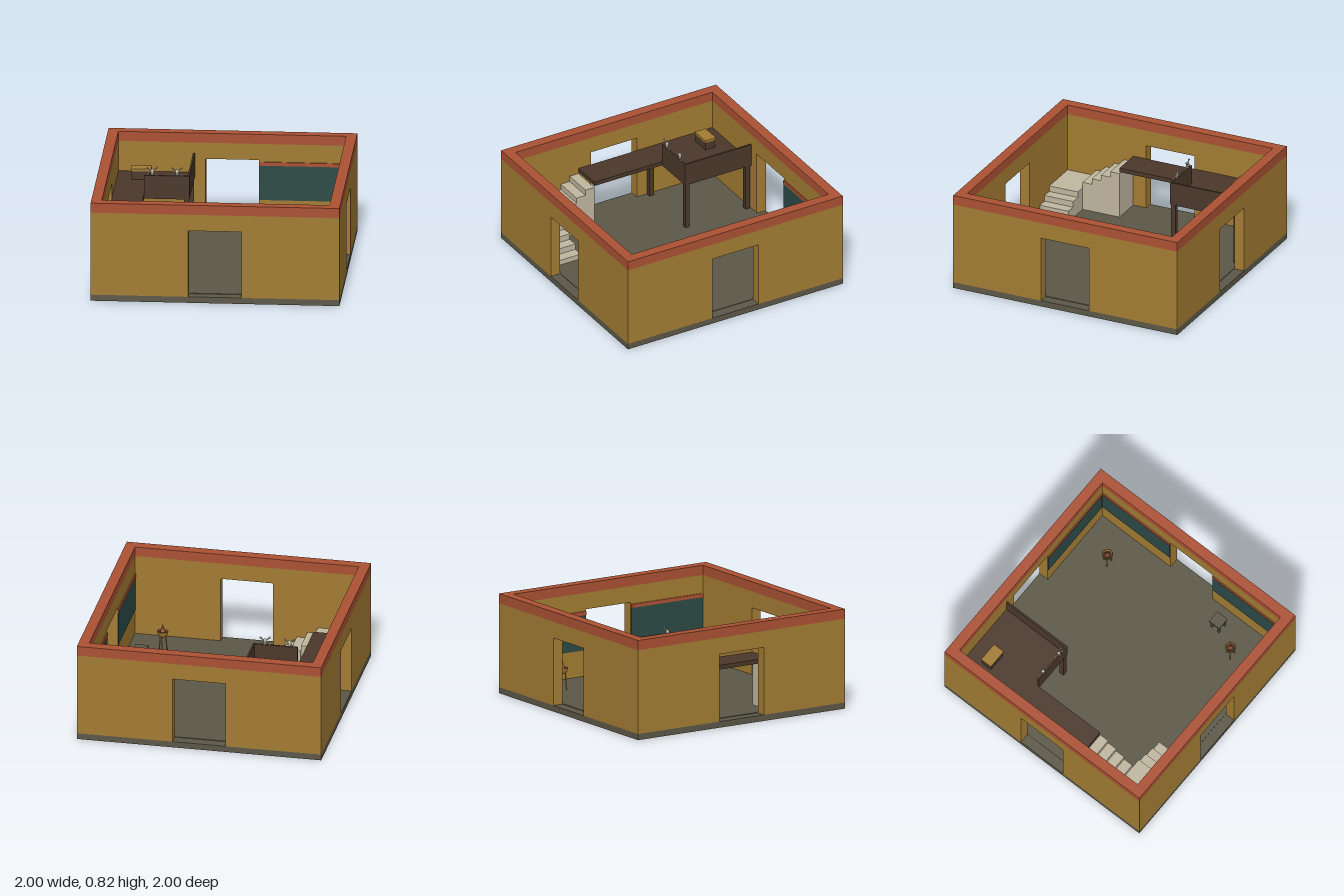
import * as THREE from 'three';

const mat = (name, color) => {
  const m = new THREE.MeshStandardMaterial({ color });
  m.name = name;
  return m;
};

export function createModel() {
  const ochre = mat('ochre plaster', 0xa37c33);
  const red = mat('red clay', 0xab5133);
  const stone = mat('grey stone', 0x5c5848);
  const wood = mat('dark wood', 0x4b382b);
  const beige = mat('pale stone', 0xc1b7a0);
  const teal = mat('teal panel', 0x2b4a46);

  const root = new THREE.Group();
  root.name = 'building';

  const add = (name, geo, material, x = 0, y = 0, z = 0, parent = root) => {
    const m = new THREE.Mesh(geo, material);
    m.name = name;
    m.position.set(x, y, z);
    parent.add(m);
    return m;
  };
  // box given by its minimum and maximum corners
  const block = (name, material, x0, x1, y0, y1, z0, z1, parent = root) =>
    add(name, new THREE.BoxGeometry(x1 - x0, y1 - y0, z1 - z0), material,
      (x0 + x1) / 2, (y0 + y1) / 2, (z0 + z1) / 2, parent);
  // thin round bar between two points
  const bar = (name, material, a, b, r, parent, rTop = r) => {
    const p = new THREE.Vector3(...a), q = new THREE.Vector3(...b);
    const d = q.clone().sub(p);
    const m = add(name, new THREE.CylinderGeometry(rTop, r, d.length(), 6), material, 0, 0, 0, parent);
    m.position.copy(p).add(q).multiplyScalar(0.5);
    m.quaternion.setFromUnitVectors(new THREE.Vector3(0, 1, 0), d.normalize());
    return m;
  };

  const IN = 0.915, T = 1 - IN;

  // foundation and inner floor
  block('foundation', stone, -1, 1, 0, 0.05, -1, 1);
  block('floor', stone, -IN, IN, 0.05, 0.055, -IN, IN);

  // four walls, each with a doorway and a red coping
  const wallGeo = (half) => {
    const s = new THREE.Shape([
      [-half, 0.05], [-0.215, 0.05], [-0.215, 0.605], [0.215, 0.605],
      [0.215, 0.05], [half, 0.05], [half, 0.74], [-half, 0.74],
    ].map(([x, y]) => new THREE.Vector2(x, y)));
    return new THREE.ExtrudeGeometry(s, { depth: T, bevelEnabled: false });
  };
  ['front', 'left', 'back', 'right'].forEach((side, i) => {
    const half = i % 2 ? IN : 1;
    const g = new THREE.Group();
    g.name = side + 'Wall';
    g.rotation.y = i * Math.PI / 2;
    add('wall', wallGeo(half), ochre, 0, 0, IN, g);
    block('coping', red, -half, half, 0.74, 0.82, IN, 1, g);
    root.add(g);
  });

  // teal wall panels with a red rail above
  for (const s of [-1, 1]) {
    const z0 = s < 0 ? -0.91 : 0.22, z1 = s < 0 ? -0.22 : 0.91;
    block('sidePanel', teal, IN - 0.005, IN, 0.27, 0.56, z0, z1);
    block('sidePanelRail', red, IN - 0.01, IN, 0.56, 0.59, z0, z1);
  }
  block('backPanel', teal, 0.22, 0.905, 0.27, 0.56, -IN, -IN + 0.005);
  block('backPanelRail', red, 0.22, 0.905, 0.56, 0.59, -IN, -IN + 0.01);

  // loft, walkway, parapets and posts
  block('loftDeck', wood, -IN, -0.3, 0.455, 0.49, -IN, -0.3);
  block('walkway', wood, -IN, -0.665, 0.455, 0.49, -0.3, 0.33);
  block('loftSideParapet', wood, -0.315, -0.3, 0.49, 0.65, -IN, -0.3);
  block('loftFrontParapet', wood, -0.665, -0.315, 0.49, 0.65, -0.315, -0.3);
  for (const x of [-0.89, -0.325])
    for (const z of [-0.885, -0.325])
      block('loftPost', wood, x - 0.02, x + 0.02, 0.055, 0.455, z - 0.02, z + 0.02);

  // solid stairs: lower flight, landing, upper flight
  const rise = 0.44 / 9;
  for (let i = 0; i < 3; i++)
    block('lowerStep', beige, -0.405 - i * 0.0875, -0.32 - i * 0.0875,
      0.05, 0.05 + rise * (i + 1), 0.66, IN);
  block('landing', beige, -IN, -0.58, 0.05, 0.05 + rise * 4, 0.66, IN);
  for (let i = 0; i < 4; i++)
    block('upperStep', beige, -IN, -0.665, 0.05, 0.05 + rise * (i + 5),
      0.5775 - i * 0.0825, 0.66 - i * 0.0825);

  // chest on the loft
  block('chestBody', wood, -0.795, -0.64, 0.49, 0.56, -0.78, -0.69);
  block('chestLid', ochre, -0.8, -0.635, 0.56, 0.58, -0.785, -0.685);

  // skull and crossed bones on the parapet
  for (const x of [-0.6, -0.4]) {
    const g = new THREE.Group();
    g.name = 'boneOrnament';
    g.position.set(x, 0.65, -0.31);
    const skull = add('skull', new THREE.SphereGeometry(0.017, 8, 6), beige, 0, 0.035, 0, g);
    skull.scale.set(1, 1.1, 0.8);
    block('jaw', beige, -0.009, 0.009, 0.005, 0.025, -0.008, 0.01, g);
    for (const s of [-1, 1]) {
      bar('bone', beige, [-s * 0.038, 0.004, -s * 0.006], [s * 0.038, 0.062, -s * 0.006], 0.005, g);
      for (const e of [-1, 1])
        add('boneKnob', new THREE.SphereGeometry(0.008, 6, 5), beige,
          s * e * 0.037, 0.034 + e * 0.028, -s * 0.006, g);
    }
    root.add(g);
  }

  // two tripod braziers
  const bowl = [[0, 0.185], [0.025, 0.188], [0.038, 0.205], [0.046, 0.235],
    [0.038, 0.235], [0.03, 0.215], [0, 0.212]].map(([r, y]) => new THREE.Vector2(r, y));
  for (const z of [-0.635, 0.63]) {
    const g = new THREE.Group();
    g.name = 'brazier';
    g.position.set(0.63, 0, z);
    add('bowl', new THREE.LatheGeometry(bowl, 14), ochre, 0, 0, 0, g);
    add('coals', new THREE.CylinderGeometry(0.033, 0.03, 0.012, 10), wood, 0, 0.223, 0, g);
    add('flame', new THREE.ConeGeometry(0.022, 0.07, 6), red, 0, 0.262, 0, g);
    for (let i = 0; i < 3; i++) {
      const a = i * Math.PI * 2 / 3 + 0.5, c = Math.cos(a), s = Math.sin(a);
      bar('leg', ochre, [c * 0.036, 0.055, s * 0.036], [c * 0.026, 0.2, s * 0.026], 0.005, g);
    }
    root.add(g);
  }

  // stool
  const stool = new THREE.Group();
  stool.name = 'stool';
  stool.position.set(0.7625, 0, 0.3975);
  block('seat', stone, -0.0525, 0.0525, 0.165, 0.185, -0.0525, 0.0525, stool);
  for (const x of [-0.036, 0.036])
    for (const z of [-0.036, 0.036])
      block('leg', stone, x - 0.009, x + 0.009, 0.055, 0.165, z - 0.009, z + 0.009, stool);
  root.add(stool);

  return root;
}
